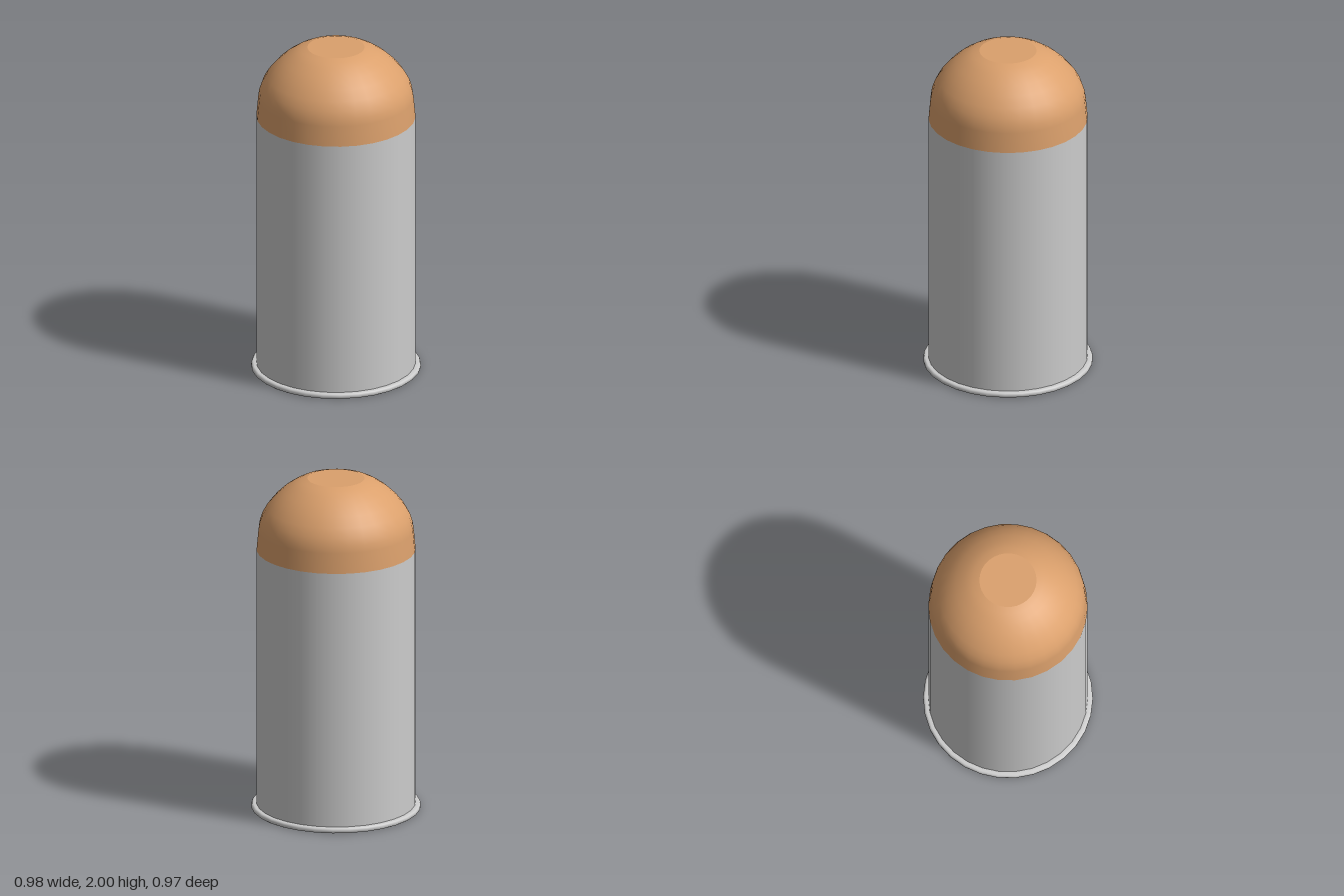
import * as THREE from 'three';

const SIDES = 30;

export function createModel() {
  const group = new THREE.Group();
  const steel = new THREE.MeshStandardMaterial({ color: 0xcccccc });
  steel.name = 'light grey metal';
  const copper = new THREE.MeshStandardMaterial({ color: 0xdba06c });
  copper.name = 'copper';

  // Revolve a bottom-to-top profile of [radius, height] pairs
  const turn = (name, profile, material) => {
    const points = profile.map(([r, y]) => new THREE.Vector2(r, y));
    const mesh = new THREE.Mesh(new THREE.LatheGeometry(points, SIDES, Math.PI / 2), material);
    mesh.name = name;
    group.add(mesh);
  };

  // Flat base and rounded rim
  turn('base', [[0, 0], [0.483, 0]], steel);
  turn('rim', [[0.483, 0], [0.49, 0.006], [0.49, 0.018], [0.486, 0.026], [0.478, 0.03], [0.46, 0.03]], steel);

  // Straight casing
  turn('casing', [[0.46, 0.03], [0.46, 1.57]], steel);

  // Domed nose with a small flat top
  turn('nose', [
    [0.46, 1.57], [0.449, 1.69], [0.443, 1.73], [0.428, 1.775], [0.4, 1.825], [0.355, 1.88],
    [0.305, 1.927], [0.25, 1.965], [0.205, 1.988], [0.165, 2],
  ], copper);
  turn('noseTop', [[0.165, 2], [0, 2]], copper);

  return group;
}
